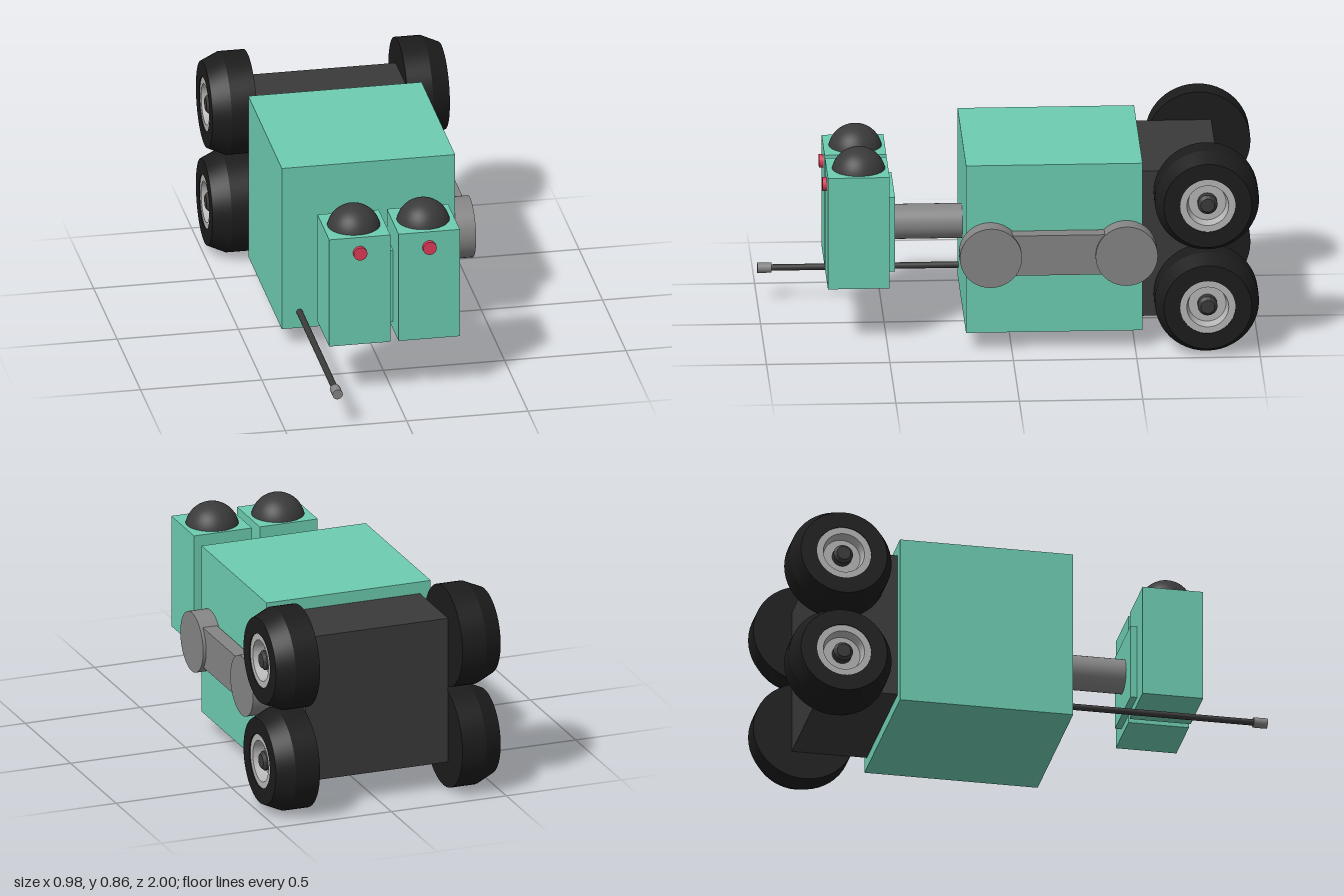
import * as THREE from 'three';
import { toCreasedNormals } from 'three/addons/utils/BufferGeometryUtils.js';

const mat = (color) => new THREE.MeshStandardMaterial({ color });
const green = mat(0x6dcdb1), dark = mat(0x3a3a3a), black = mat(0x1c1c1c);
const grey = mat(0x858585), light = mat(0xb5b5b5), red = mat(0xe03a58);

export function createModel() {
  const model = new THREE.Group();

  const add = (name, geometry, material, x = 0, y = 0, z = 0, parent = model) => {
    const mesh = new THREE.Mesh(geometry, material);
    mesh.name = name;
    mesh.position.set(x, y, z);
    parent.add(mesh);
    return mesh;
  };
  // Box given by its lower and upper limits on each axis
  const box = (name, material, [x0, x1], [y0, y1], [z0, z1]) =>
    add(name, new THREE.BoxGeometry(x1 - x0, y1 - y0, z1 - z0), material,
      (x0 + x1) / 2, (y0 + y1) / 2, (z0 + z1) / 2);
  // Cylinder along z between two depths
  const rod = (name, material, r, x, y, z0, z1) =>
    add(name, new THREE.CylinderGeometry(r, r, z1 - z0, 32).rotateX(Math.PI / 2),
      material, x, y, (z0 + z1) / 2);
  // Profile of [radius, x] turned about the x axis
  const turned = (points) => toCreasedNormals(
    new THREE.LatheGeometry(points.map(([r, h]) => new THREE.Vector2(r, h)), 48)
      .rotateZ(-Math.PI / 2), 0.35);

  // Body and rear chassis
  box('body', green, [-0.357, 0.357], [0.075, 0.79], [-0.53, 0.185]);
  box('rearChassis', dark, [-0.31, 0.31], [0.12, 0.74], [-0.84, -0.53]);

  // Wheels: bevelled tyre, recessed rim, hub
  const tyre = turned([[0, 0.31], [0.211, 0.31], [0.211, 0.415], [0.178, 0.489], [0.112, 0.489], [0.112, 0.46]]);
  const rim = turned([[0.112, 0.485], [0.085, 0.485], [0.076, 0.44], [0.03, 0.44]]);
  const hub = turned([[0.04, 0.44], [0.04, 0.472], [0.028, 0.484], [0, 0.484]]);
  for (const side of [1, -1]) {
    for (const y of [0.648, 0.214]) {
      const wheel = new THREE.Group();
      wheel.name = (side > 0 ? 'left' : 'right') + (y > 0.4 ? 'Upper' : 'Lower') + 'Wheel';
      wheel.position.set(0, y, -0.788);
      wheel.rotation.y = side > 0 ? 0 : Math.PI;
      add('tyre', tyre, black, 0, 0, 0, wheel);
      add('rim', rim, light, 0, 0, 0, wheel);
      add('hub', hub, dark, 0, 0, 0, wheel);
      model.add(wheel);
    }
  }

  // Side arm: two pivot discs joined by a bar
  for (const [name, z] of [['frontPivot', 0.088], ['rearPivot', -0.462]]) {
    add(name, new THREE.CylinderGeometry(0.126, 0.126, 0.084, 40).rotateZ(Math.PI / 2),
      grey, 0.396, 0.42, z);
  }
  box('armBar', grey, [0.363, 0.425], [0.34, 0.51], [-0.462, 0.088]);

  // Neck and plate carrying the two heads
  rod('neck', grey, 0.071, 0, 0.433, 0.18, 0.47);
  box('neckPlate', green, [-0.155, 0.155], [0.273, 0.59], [0.463, 0.62]);

  // Twin heads, each with a dome and a red eye
  for (const side of [1, -1]) {
    const label = side > 0 ? 'left' : 'right';
    const x = side * 0.143;
    const head = box(label + 'Head', green, [-0.126, 0.126], [0.24, 0.715], [0.49, 0.74]);
    head.position.x = x;
    add(label + 'Dome', new THREE.SphereGeometry(0.11, 48, 16, 0, Math.PI * 2, 0, Math.PI / 2),
      dark, x, 0.692, 0.61);
    rod(label + 'Eye', red, 0.028, x, 0.648, 0.73, 0.757);
  }

  // Forward probe
  rod('probe', dark, 0.013, -0.284, 0.145, 0.18, 0.95);
  rod('probeTip', grey, 0.021, -0.284, 0.145, 0.943, 1);

  return model;
}
